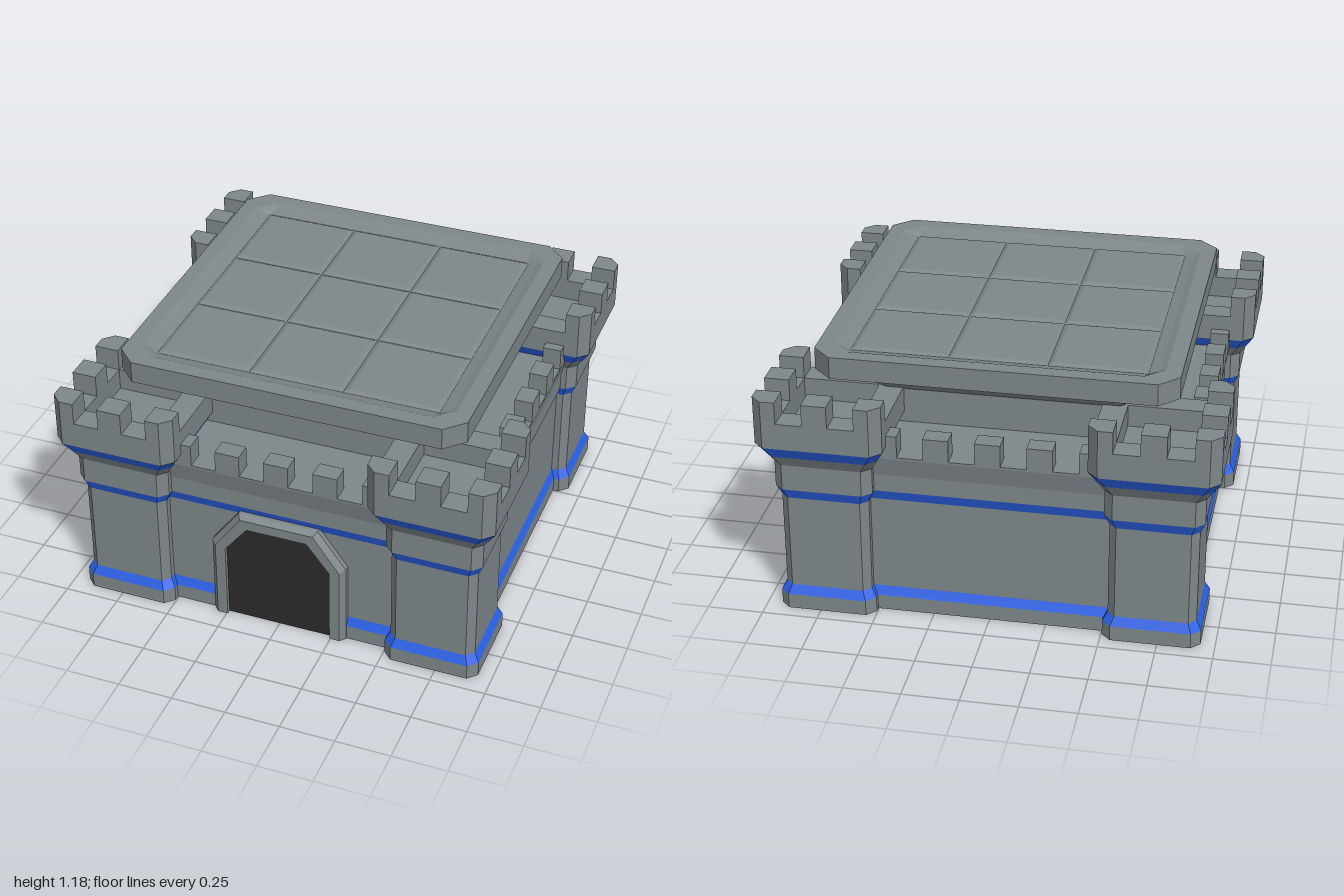
import * as THREE from 'three';

const mat = (name, color) => {
  const m = new THREE.MeshStandardMaterial({ color, side: THREE.DoubleSide });
  m.name = name;
  return m;
};

// Flat-faced skin through rows of points; closed rows wrap around
function skin(rows, closed) {
  const pos = [];
  const tri = (a, b, c) => {
    const [p, q, r] = [a, b, c].map((v) => new THREE.Vector3(...v));
    if (q.clone().sub(p).cross(r.clone().sub(p)).length() > 1e-8) pos.push(...a, ...b, ...c);
  };
  for (let k = 0; k < rows.length - 1; k++) {
    const [lo, hi] = [rows[k], rows[k + 1]];
    for (let i = 0; i < lo.length - (closed ? 0 : 1); i++) {
      const j = (i + 1) % lo.length;
      tri(lo[i], hi[i], lo[j]);
      tri(lo[j], hi[i], hi[j]);
    }
  }
  const g = new THREE.BufferGeometry();
  g.setAttribute('position', new THREE.Float32BufferAttribute(pos, 3));
  g.computeVertexNormals();
  return g;
}

// Square outline with cut corners: half width h, cut c
const outline = (h, c) => [
  [h, -h + c], [h, h - c], [h - c, h], [-h + c, h],
  [-h, h - c], [-h, -h + c], [-h + c, -h], [h - c, -h],
];

// Skin through rings of [half width, corner cut, height]
const loft = (rings) => skin(rings.map(([h, c, y]) => outline(h, c).map(([x, z]) => [x, y, z])), true);

const polygon = (pts) => new THREE.Shape(pts.map(([x, y]) => new THREE.Vector2(x, y)));

export function createModel() {
  const stone = mat('grey stone', 0x7d8689);
  const blue = mat('blue trim', 0x2a5fe2);
  const dark = mat('dark opening', 0x2b2b2b);
  const root = new THREE.Group();
  root.name = 'castle';

  const add = (parent, name, geo, material, x = 0, y = 0, z = 0) => {
    const m = new THREE.Mesh(geo, material);
    m.name = name;
    m.position.set(x, y, z);
    parent.add(m);
    return m;
  };

  // Curtain walls with a walkway on top, open underneath
  add(root, 'wallFoot', loft([[0.87, 0, 0], [0.87, 0, 0.07]]), stone);
  add(root, 'wallLowerBand', loft([[0.87, 0, 0.07], [0.85, 0, 0.11]]), blue);
  add(root, 'wallBody', loft([[0.85, 0, 0.11], [0.85, 0, 0.55]]), stone);
  add(root, 'wallUpperBand', loft([[0.85, 0, 0.55], [0.87, 0, 0.6]]), blue);
  add(root, 'wallHead', loft([[0.87, 0, 0.6], [0.87, 0, 0.68], [0.89, 0, 0.77], [0.89, 0, 0.78], [0.55, 0, 0.78]]), stone);

  // Hollow keep from the ground up, flared collar and recessed roof slab
  add(root, 'keepAndRoof', loft([
    [0.55, 0.04, 0], [0.55, 0.04, 0.94], [0.72, 0.085, 1.08], [0.79, 0.085, 1.08],
    [0.79, 0.085, 1.18], [0.72, 0.08, 1.18], [0.692, 0.06, 1.168], [0.647, 0, 1.155], [0, 0, 1.155],
  ]), stone);
  const tile = loft([[0.2155, 0, 0], [0.196, 0, 0.009], [0, 0, 0.009]]);
  for (let i = -1; i <= 1; i++) {
    for (let j = -1; j <= 1; j++) add(root, 'roofTile', tile, stone, i * 0.431, 1.155, j * 0.431);
  }

  // Tower geometry, shared by the four corners
  const foot = loft([[0.216, 0.04, 0], [0.216, 0.04, 0.07]]);
  const lowerBand = loft([[0.216, 0.04, 0.07], [0.194, 0.033, 0.11]]);
  const shaft = loft([[0.194, 0.033, 0.11], [0.194, 0.033, 0.55]]);
  const upperBand = loft([[0.194, 0.033, 0.55], [0.216, 0.04, 0.6]]);
  const neck = loft([[0.216, 0.04, 0.6], [0.216, 0.04, 0.72], [0.248, 0.043, 0.775]]);
  const topBand = loft([[0.248, 0.043, 0.775], [0.28, 0.046, 0.83]]);
  const parapet = loft([[0.28, 0.046, 0.83], [0.28, 0.046, 0.95], [0.17, 0, 0.95], [0.17, 0, 0.85], [0, 0, 0.85]]);
  const merlon = new THREE.BoxGeometry(0.11, 0.1, 0.11);
  const cornerMerlon = new THREE.ExtrudeGeometry(
    polygon([[-0.055, -0.055], [0.055, -0.055], [0.055, 0.009], [0.009, 0.055], [-0.055, 0.055]]),
    { depth: 0.1, bevelEnabled: false },
  ).rotateX(Math.PI / 2).translate(0, 0.05, 0);
  const wallMerlon = new THREE.BoxGeometry(0.112, 0.1, 0.085);

  for (let k = 0; k < 4; k++) {
    const side = new THREE.Group();
    side.name = 'castleSide';
    side.rotation.y = k * Math.PI / 2;
    root.add(side);

    // Corner tower
    const tower = new THREE.Group();
    tower.name = 'tower';
    tower.position.set(0.72, 0, 0.72);
    side.add(tower);
    add(tower, 'towerFoot', foot, stone);
    add(tower, 'towerLowerBand', lowerBand, blue);
    add(tower, 'towerShaft', shaft, stone);
    add(tower, 'towerUpperBand', upperBand, blue);
    add(tower, 'towerNeck', neck, stone);
    add(tower, 'towerTopBand', topBand, blue);
    add(tower, 'towerParapet', parapet, stone);

    // Merlons along the two outer sides of the tower
    const e = 0.225;
    add(tower, 'towerMerlon', merlon, stone, 0, 1, e);
    add(tower, 'towerMerlon', merlon, stone, e, 1, 0);
    [[e, e, 0], [e, -e, 1], [-e, e, -1]].forEach(([x, z, turn]) => {
      add(tower, 'towerCornerMerlon', cornerMerlon, stone, x, 1, z).rotation.y = turn * Math.PI / 2;
    });

    // Merlons along the wall
    for (let i = -2; i <= 2; i++) add(side, 'wallMerlon', wallMerlon, stone, i * 0.225, 0.83, 0.8475);
  }

  // Gate: arched frame with a bevelled outer edge around a dark opening
  const arch = (w, s, t, h, z) => [[-w, 0, z], [-w, s, z], [-t, h, z], [t, h, z], [w, s, z], [w, 0, z]];
  const opening = (z) => arch(0.245, 0.37, 0.14, 0.503, z);
  add(root, 'gateFrame', skin([
    arch(0.315, 0.39, 0.185, 0.567, 0.84),
    arch(0.315, 0.39, 0.185, 0.567, 0.875),
    arch(0.292, 0.38, 0.17, 0.55, 0.9),
    opening(0.9),
    opening(0.875),
  ], false), stone);
  add(root, 'gateOpening', new THREE.ShapeGeometry(polygon(opening(0))), dark, 0, 0, 0.88);

  return root;
}
